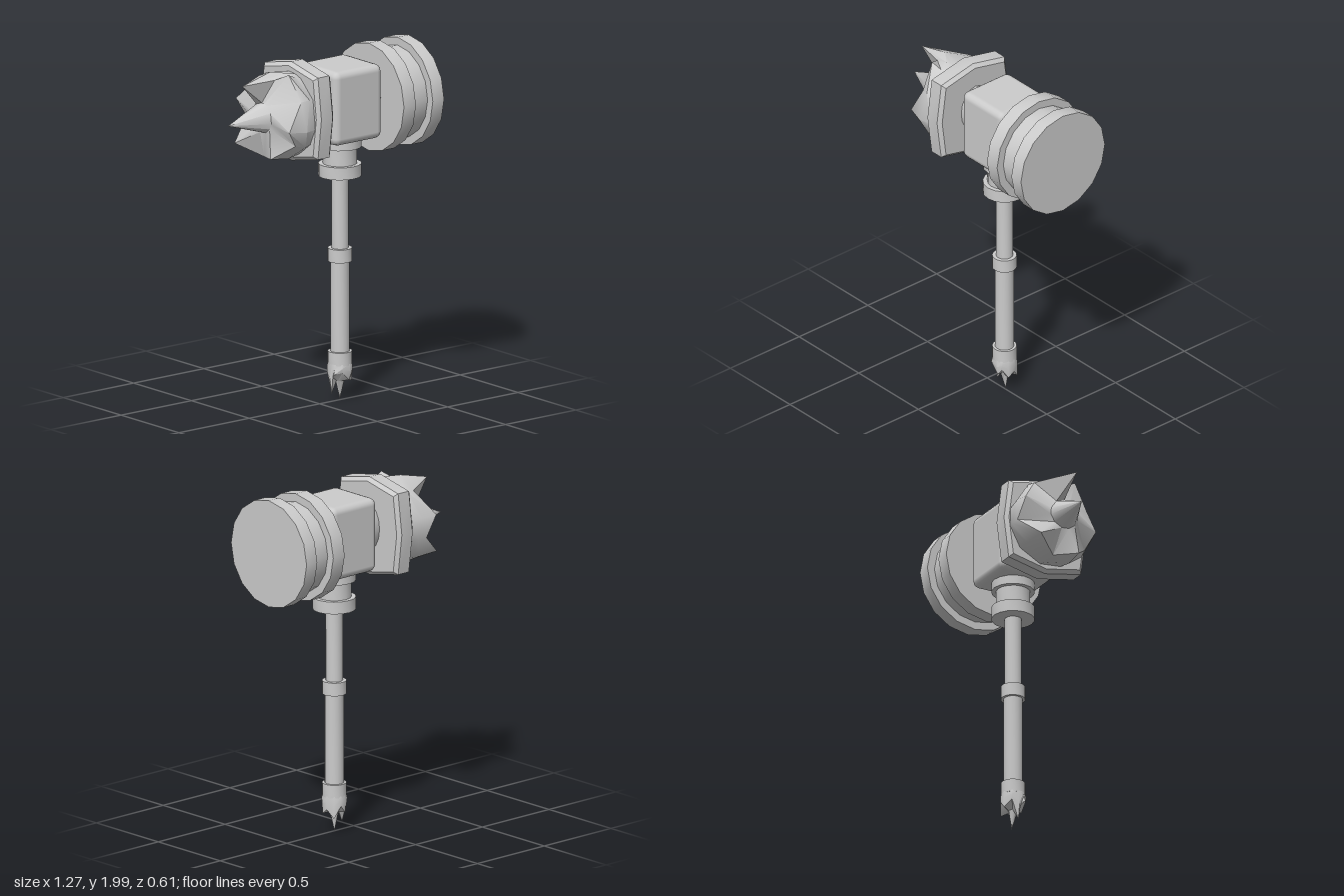
import * as THREE from 'three';
import { toCreasedNormals } from 'three/addons/utils/BufferGeometryUtils.js';
import { RoundedBoxGeometry } from 'three/addons/geometries/RoundedBoxGeometry.js';

const HANDLE_X = 0.145;
const HEAD_Y = 1.695;
const material = new THREE.MeshStandardMaterial({ color: 0xcccccc });

function add(parent, name, geometry, x = 0, y = 0, z = 0) {
  const mesh = new THREE.Mesh(geometry, material);
  mesh.name = name;
  mesh.position.set(x, y, z);
  parent.add(mesh);
  return mesh;
}

// Turned part from [radius, height] points, with sharp steps kept sharp
function turned(points, sides) {
  const profile = points.map(([r, h]) => new THREE.Vector2(r, h));
  return toCreasedNormals(new THREE.LatheGeometry(profile, sides), 0.6);
}

// Jagged crown growing along -x: rings of alternating tips and valleys
// Each rim entry is [reach, angle in degrees from +y towards +z, radius]
function crownGeometry() {
  const rim = [
    [0.33, 0, 0.2], [0.14, 13, 0.22], [0.1, 26, 0.28], [0.08, 62, 0.235],
    [0.17, 103, 0.22], [0.1, 128, 0.23], [0.2, 158, 0.235], [0.14, 190, 0.24],
    [0.24, 226, 0.245], [0.1, 258, 0.25], [0.18, 285, 0.245], [0.1, 325, 0.24],
  ];
  const n = rim.length;
  const rings = [
    () => [-0.01, 0.235],
    ([reach]) => [reach * 0.4, 0.25],
    ([reach, , radius]) => [reach, radius],
    () => [0.19, 0.085],
  ];
  const positions = [];
  const index = [];
  for (const ring of rings) {
    for (const entry of rim) {
      const [reach, radius] = ring(entry);
      const t = THREE.MathUtils.degToRad(entry[1]);
      positions.push(-reach, radius * Math.cos(t), radius * Math.sin(t));
    }
  }
  positions.push(-0.415, -0.015, -0.02);
  const apex = rings.length * n;
  for (let i = 0; i < rings.length; i++) {
    for (let j = 0; j < n; j++) {
      const k = (j + 1) % n;
      const a = i * n + j, b = i * n + k;
      if (i === rings.length - 1) index.push(a, apex, b);
      else index.push(a, a + n, b, b, a + n, b + n);
    }
  }
  const geometry = new THREE.BufferGeometry();
  geometry.setAttribute('position', new THREE.Float32BufferAttribute(positions, 3));
  geometry.setIndex(index);
  return toCreasedNormals(geometry, 0.7);
}

// Eight-cornered plate with slightly bulging sides and bevelled edges
function plateGeometry() {
  const bevel = 0.02;
  const outline = [[0.24, 0], [0.212, 0.215], [0, 0.26], [-0.212, 0.215],
    [-0.24, 0], [-0.212, -0.215], [0, -0.26], [0.212, -0.215]];
  const shape = new THREE.Shape(outline.map(([x, y]) => new THREE.Vector2(x, y)));
  const geometry = new THREE.ExtrudeGeometry(shape, {
    depth: 0.12 - 2 * bevel, bevelSize: bevel, bevelThickness: bevel, bevelSegments: 1,
  });
  geometry.translate(0, 0, -0.04);
  geometry.rotateY(Math.PI / 2);
  return toCreasedNormals(geometry, 0.5);
}

export function createModel() {
  const model = new THREE.Group();
  model.name = 'warHammer';

  // Handle shafts and collars: name, radius, bottom, top
  const handle = new THREE.Group();
  handle.name = 'handle';
  handle.position.x = HANDLE_X;
  model.add(handle);
  const sections = [
    ['lowerShaft', 0.053, 0.22, 0.84],
    ['upperShaft', 0.047, 0.84, 1.32],
    ['pommelCollar', 0.068, 0.215, 0.29],
    ['middleCollar', 0.068, 0.8, 0.875],
    ['socketLowerRing', 0.12, 1.285, 1.355],
    ['socketNeck', 0.095, 1.355, 1.45],
    ['socketUpperRing', 0.12, 1.45, 1.52],
  ];
  for (const [name, r, bottom, top] of sections) {
    add(handle, name, turned([[0, bottom], [r, bottom], [r, top], [0, top]], 16));
  }

  // Small jagged pommel pointing down
  const crown = crownGeometry();
  const pommel = add(handle, 'pommel', crown, 0, 0.218, 0);
  pommel.rotation.z = Math.PI / 2;
  pommel.scale.set(0.5, 0.29, 0.29);

  // Head, laid out along x
  const head = new THREE.Group();
  head.name = 'head';
  head.position.y = HEAD_Y;
  model.add(head);

  const block = new RoundedBoxGeometry(0.34, 0.42, 0.34, 2, 0.04);
  add(head, 'headBlock', block, HANDLE_X, 0.015, 0);

  // Oval core joining the block to the plate and the striking drum
  const core = turned([[0, -0.26], [0.135, -0.26], [0.155, -0.19], [0.155, 0.18], [0.135, 0.22], [0, 0.22]], 16);
  core.rotateZ(-Math.PI / 2);
  add(head, 'headCore', core, HANDLE_X, 0.015, 0).scale.z = 0.73;

  // Grooved striking drum
  const drum = turned([
    [0, 0.35], [0.305, 0.35], [0.305, 0.435], [0.26, 0.435],
    [0.26, 0.555], [0.305, 0.555], [0.305, 0.635], [0, 0.635],
  ], 16);
  drum.rotateZ(-Math.PI / 2);
  add(head, 'strikingDrum', drum);

  add(head, 'spikePlate', plateGeometry(), -0.16, 0.01, 0);
  add(head, 'spikeCrown', crown, -0.22, 0.005, 0);

  return model;
}
